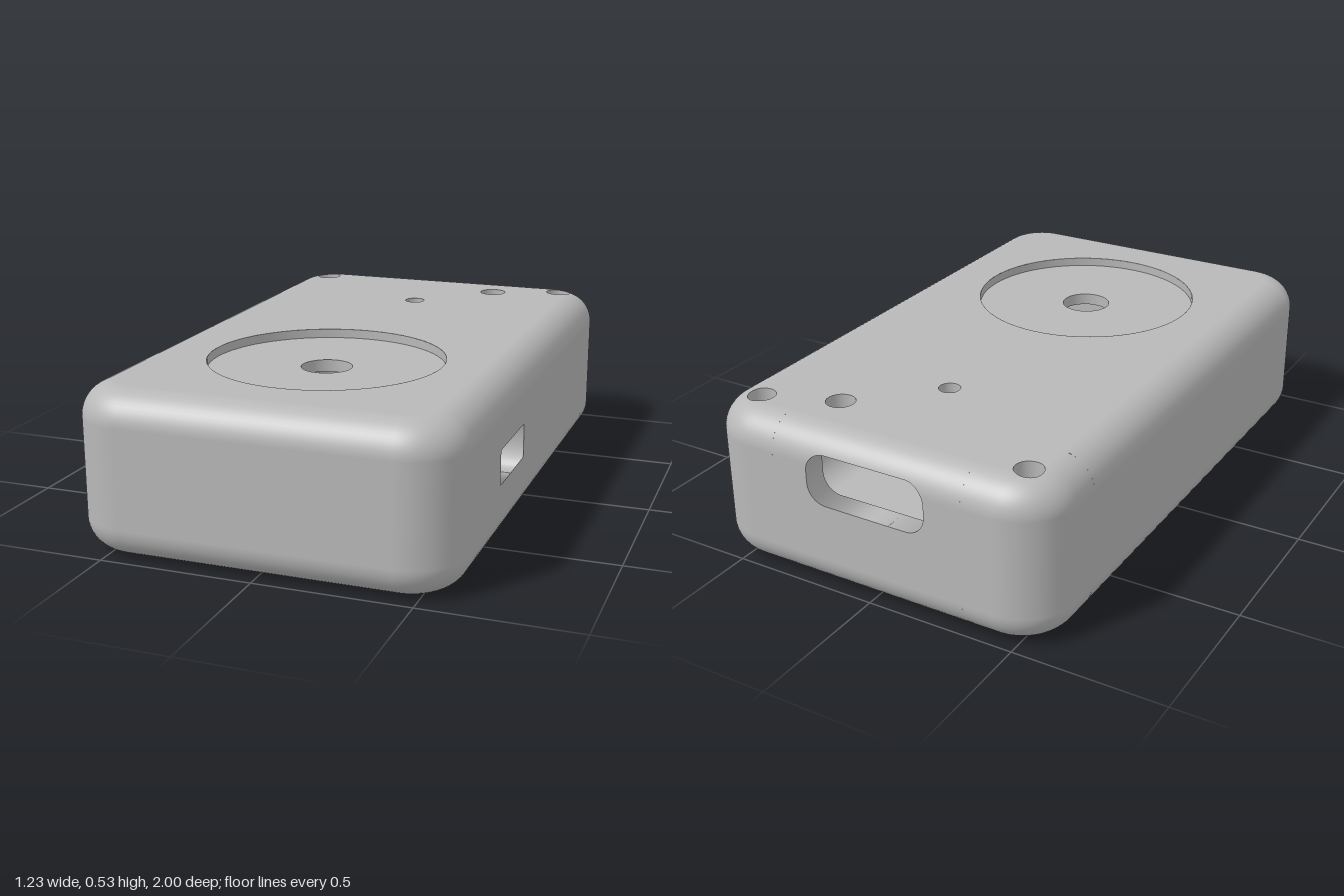
import * as THREE from 'three';

// Overall half width, height, half length, plan corner radius, edge fillet
const W = 0.615, H = 0.53, L = 1, R = 0.18, F = 0.105;
const CX = W - R, CZ = L - R, CELL = 0.1, DEPTH = 0.07;
const V = (x, y, z) => new THREE.Vector3(x, y, z);

// Surface from rows of [position, normal]; every triangle is wound to agree with its normals
function grid(rows) {
  const pos = [], nor = [], idx = [], cols = rows[0].length;
  rows.forEach(r => r.forEach(([p, n]) => { pos.push(...p.toArray()); nor.push(...n.toArray()); }));
  const flat = rows.flat();
  const tri = (a, b, c) => {
    const e = flat[b][0].clone().sub(flat[a][0]).cross(flat[c][0].clone().sub(flat[a][0]));
    const n = flat[a][1].clone().add(flat[b][1]).add(flat[c][1]);
    idx.push(...(e.dot(n) >= 0 ? [a, b, c] : [a, c, b]));
  };
  for (let i = 0; i < rows.length - 1; i++) for (let j = 0; j < cols - 1; j++) {
    const a = i * cols + j;
    tri(a, a + 1, a + cols);
    tri(a + 1, a + cols + 1, a + cols);
  }
  const g = new THREE.BufferGeometry();
  g.setAttribute('position', new THREE.Float32BufferAttribute(pos, 3));
  g.setAttribute('normal', new THREE.Float32BufferAttribute(nor, 3));
  g.setIndex(idx);
  return g;
}

// Sweep a profile of [outward, y, normal outward, normal y] along outline points [x, z, nx, nz]
const band = (pts, prof) => grid(prof.map(([o, y, no, ny]) =>
  pts.map(([x, z, nx, nz]) => [V(x + nx * o, y, z + nz * o), V(nx * no, ny, nz * no)])));
const filletProfile = top => Array.from({ length: 13 }, (_, i) => {
  const a = i / 12 * Math.PI / 2, s = Math.sin(a), c = Math.cos(a);
  return [F * c, top ? H - F + F * s : F - F * s, c, top ? s : -s];
});
const wallProfile = [[F, F, 1, 0], [F, H - F, 1, 0]];

// Closed loop through corners, each side subdivided
function loop(corners, n) {
  const out = [];
  corners.forEach(([x, y], i) => {
    const [X, Y] = corners[(i + 1) % corners.length];
    for (let k = 0; k < n; k++) out.push([x + (X - x) * k / n, y + (Y - y) * k / n]);
  });
  return [...out, out[0]];
}
const rect = (x0, x1, y0, y1, n) => loop([[x0, y0], [x1, y0], [x1, y1], [x0, y1]], n);

// Skin between a rounded-rectangle opening and an outer loop, plus the wall of the opening
function opening([cx, cy], hx, hy, r, outer, map, inward) {
  const sdf = (x, y) => {
    const a = Math.abs(x) - hx + r, b = Math.abs(y) - hy + r;
    return Math.hypot(Math.max(a, 0), Math.max(b, 0)) + Math.min(Math.max(a, b), 0) - r;
  };
  const inner = outer.map(([x, y]) => {
    let lo = 0, hi = 1;
    for (let i = 0; i < 24; i++) {
      const m = (lo + hi) / 2;
      if (sdf((x - cx) * m, (y - cy) * m) < 0) lo = m; else hi = m;
    }
    return [cx + (x - cx) * lo, cy + (y - cy) * lo];
  });
  const rows = Array.from({ length: 21 }, (_, i) => {
    const t = 1 - (1 - i / 20) ** 2;
    return outer.map(([x, y], k) => map(inner[k][0] + (x - inner[k][0]) * t, inner[k][1] + (y - inner[k][1]) * t));
  });
  const mid = map(cx, cy)[0];
  const rim = rows[0].map(([p]) => [p, mid.clone().sub(p).normalize()]);
  return [grid(rows), grid([rim, rim.map(([p, n]) => [inward(p.clone()), n])])];
}

export function createModel() {
  const model = new THREE.Group();
  const shellGrey = new THREE.MeshStandardMaterial({ color: 0xb8b8b8, side: THREE.DoubleSide });
  shellGrey.name = 'shellGrey';
  const add = (name, ...geos) => geos.forEach(g => {
    const m = new THREE.Mesh(g, shellGrey);
    m.name = name;
    model.add(m);
  });

  // Inset outline: a corner arc, and the run round the left side, front and right side
  const arc = (x, z, a0, a1) => Array.from({ length: 17 }, (_, i) => {
    const a = a0 + (a1 - a0) * i / 16, c = Math.cos(a), s = Math.sin(a);
    return [x + (R - F) * c, z + (R - F) * s, c, s];
  });
  const PI = Math.PI, sideX = W - F, endZ = L - F, cellX = CX - CELL, cellZ = -(CZ - CELL);
  const front = [[-sideX, cellZ, -1, 0], ...arc(-CX, CZ, PI, PI / 2), ...arc(CX, CZ, PI / 2, 0)];
  const run = [...front, [sideX, cellZ, 1, 0]];
  const back = [[-cellX, -endZ, 0, -1], [cellX, -endZ, 0, -1]];
  add('topEdge', band(run, filletProfile(true)));
  add('bottomEdge', band(run, filletProfile(false)), band(back, filletProfile(false)));

  // Side walls, leaving room for the side slot
  const slotZ = 0.355, slotY = H / 2, slotHalf = [0.145, 0.0575];
  const reach = slotHalf[0] * (slotY - F) / slotHalf[1];
  add('sideWall', band([...front, [sideX, slotZ + reach, 1, 0]], wallProfile),
    band([[sideX, slotZ - reach, 1, 0], [sideX, cellZ, 1, 0]], wallProfile));
  add('sideSlot', ...opening([slotZ, slotY], ...slotHalf, 0.006,
    rect(slotZ - reach, slotZ + reach, F, H - F, 16),
    (z, y) => [V(W, y, z), V(1, 0, 0)], p => p.setX(W - 0.09)));

  // Back port, whose surface runs over the top fillet by arc length
  add('backPort', ...opening([0, 0.38], 0.21, 0.085, 0.065,
    rect(-cellX, cellX, F, H - F + F * PI / 2, 28),
    (x, w) => {
      const a = Math.max(0, (w - H + F) / F), c = Math.cos(a), s = Math.sin(a);
      return [V(x, a > 0 ? H - F + F * s : w, -L + F - F * c), V(0, s, -c)];
    }, p => p.setZ(-L + 0.08)));

  // Back corners with strap holes through top and bottom
  const fine = Array.from({ length: 11 }, (_, i) => R - F + F * Math.sin(i / 10 * PI / 2));
  const line = [-CELL, -0.06, -0.02, 0.03, ...fine];
  const cornerLoop = [
    ...line.map(u => [u, -CELL]),
    [R, -0.066], [R, -0.033],
    ...Array.from({ length: 17 }, (_, i) => [R * Math.cos(i / 32 * PI), R * Math.sin(i / 32 * PI)]),
    [-0.033, R], [-0.066, R],
    ...line.slice().reverse().map(v => [-CELL, v]),
  ];
  for (const s of [1, -1]) {
    const turn = arc(s * CX, -CZ, s > 0 ? 0 : PI, s > 0 ? -PI / 2 : 1.5 * PI);
    add('backCornerWall', band([[s * sideX, cellZ, s, 0], ...turn, [s * cellX, -endZ, 0, -1]], wallProfile));
    for (const top of [true, false]) {
      const ledgeY = top ? H - 0.06 : 0.06;
      const map = (u, v) => {
        const rho = u > 0 && v > 0 ? Math.hypot(u, v) : Math.max(u, v);
        const d = Math.min(F, Math.max(0, rho - R + F)), rise = Math.sqrt(F * F - d * d);
        const dir = u > 0 && v > 0 ? [u / rho, v / rho] : u > v ? [1, 0] : [0, 1];
        return [V(s * (CX + u), top ? H - F + rise : F - rise, -CZ - v),
          V(s * dir[0] * d / F, (top ? 1 : -1) * rise / F, -dir[1] * d / F)];
      };
      add('strapHoleCorner', ...opening([0.045, 0.04], 0.045, 0.045, 0.045, cornerLoop, map, p => p.setY(ledgeY)));
      // Solid ledge partly behind the hole
      const ledge = new THREE.RingGeometry(R - F, 0.16, 16, 1, s > 0 ? 0 : PI / 2, PI / 2);
      if (top) ledge.rotateX(-PI / 2);
      else ledge.scale(1, -1, 1).rotateX(PI / 2);
      if (!top) { // the mirrored ring needs its winding and normals restored
        const ix = ledge.index.array;
        for (let i = 0; i < ix.length; i += 3) [ix[i], ix[i + 1]] = [ix[i + 1], ix[i]];
        ledge.computeVertexNormals();
      }
      add('cornerLedge', ledge.translate(s * CX, ledgeY, -CZ));
    }
    add('cornerInnerWall', new THREE.CylinderGeometry(R - F, R - F, H - 0.12, 16, 1, true, s > 0 ? PI / 2 : PI, PI / 2)
      .translate(s * CX, H / 2, -CZ));
  }

  // Flat faces: holes are [x, z, radius]
  const circle = (x, y, r) => new THREE.Path().absarc(x, y, r, 0, 2 * PI, true);
  const outline = [...run.map(([x, z]) => [x, z]),
    [cellX, cellZ], [cellX, -endZ], [-cellX, -endZ], [-cellX, cellZ]];
  const face = (dir, holes) => {
    const shape = new THREE.Shape(outline.map(([x, z]) => new THREE.Vector2(x, -z * dir)));
    holes.forEach(([x, z, r]) => shape.holes.push(circle(x, -z * dir, r)));
    return new THREE.ShapeGeometry(shape, 48).rotateX(-dir * PI / 2).translate(0, dir > 0 ? H : 0, 0);
  };
  const pinHoles = [[0, -0.53, 0.035], [0.24, -0.775, 0.047]];
  const dial = [0, 0.38, 0.385], hub = [0, 0.38, 0.083], dialY = H - 0.03;
  add('topFace', face(1, [...pinHoles, dial]));
  add('bottomFace', face(-1, []));

  // Round recess with a central hole, and the small holes
  const bore = ([x, z, r], y0, y1) => grid([y0, y1].map(y => Array.from({ length: 65 }, (_, i) => {
    const c = Math.cos(i / 32 * PI), s = Math.sin(i / 32 * PI);
    return [V(x + r * c, y, z + r * s), V(-c, 0, -s)];
  })));
  add('dialRecessWall', bore(dial, H, dialY));
  add('dialRecessFloor', new THREE.RingGeometry(hub[2], dial[2], 64).rotateX(-PI / 2).translate(0, dialY, dial[1]));
  add('dialCentreHole', bore(hub, dialY, H - DEPTH));
  pinHoles.forEach(h => add('pinHole', bore(h, H, H - DEPTH)));
  return model;
}
